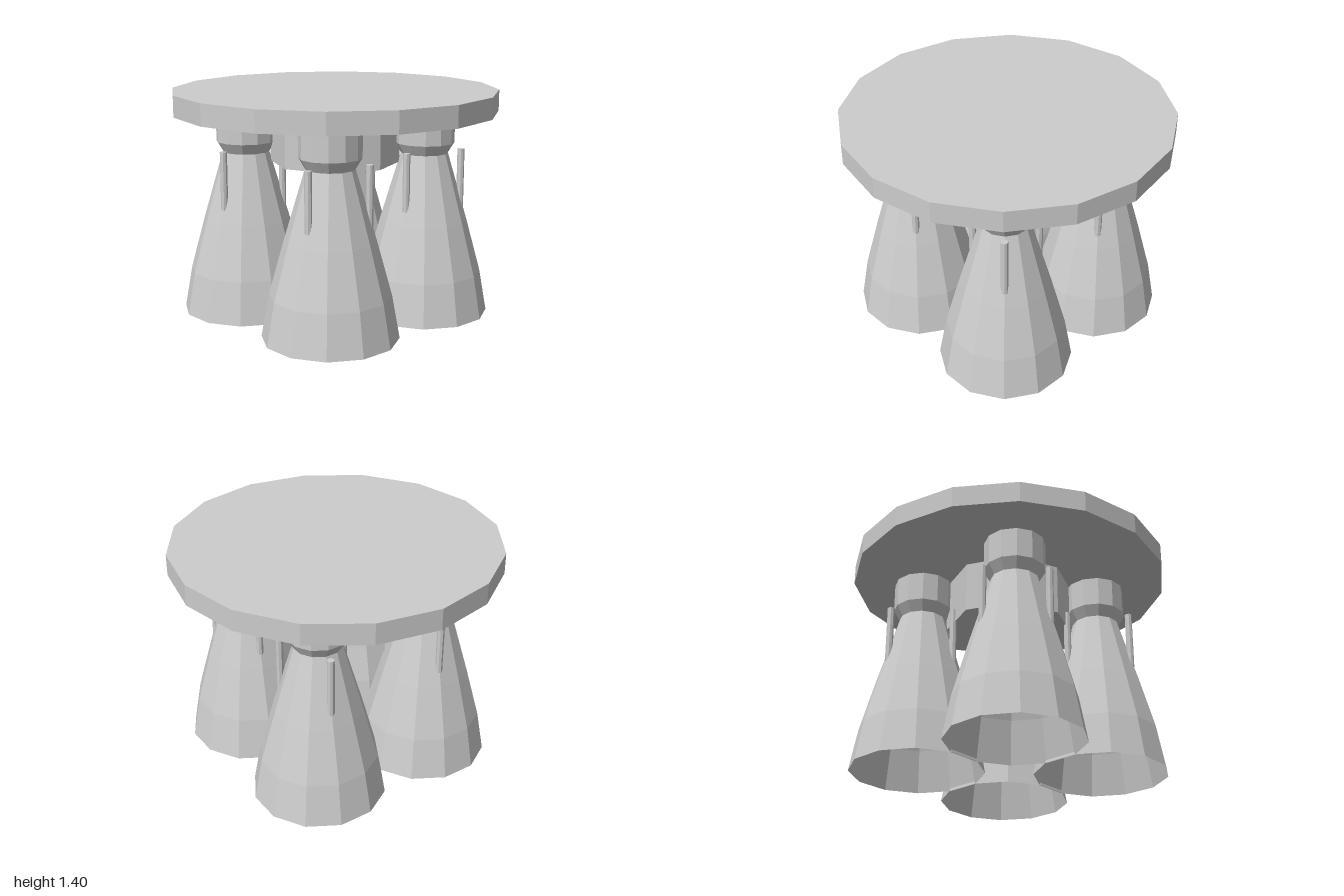
import * as THREE from 'three';

export function createModel() {
  const model = new THREE.Group();
  model.name = 'engineCluster';

  const grey = new THREE.MeshStandardMaterial({ color: 0xcccccc, flatShading: true, side: THREE.DoubleSide });
  grey.name = 'light grey metal';

  const add = (parent, geometry, name, x = 0, y = 0, z = 0) => {
    const mesh = new THREE.Mesh(geometry, grey);
    mesh.name = name;
    mesh.position.set(x, y, z);
    parent.add(mesh);
    return mesh;
  };

  // Mounting plate and the octagonal thrust block beneath it
  add(model, new THREE.CylinderGeometry(1, 1, 0.13, 16), 'mountingPlate', 0, 1.335, 0);
  add(model, new THREE.CylinderGeometry(0.4, 0.4, 0.32, 8), 'thrustBlock', 0, 1.11, 0);

  // Open bell, throat and combustion chamber as one profile
  const profile = [
    [0.408, 0], [0.36, 0.262], [0.27, 0.588], [0.145, 1.01],
    [0.184, 1.075], [0.184, 1.26], [0, 1.26],
  ].map(([r, y]) => new THREE.Vector2(r, y));
  const bellGeometry = new THREE.LatheGeometry(profile, 12);
  const pipeGeometry = new THREE.CylinderGeometry(0.022, 0.022, 0.36, 8);

  // Four engines in a cross, each with three pipes around the neck
  const offset = 0.553;
  [['left', 1, 0], ['right', -1, 0], ['front', 0, 1], ['back', 0, -1]].forEach(([side, x, z]) => {
    const engine = new THREE.Group();
    engine.name = side + 'Engine';
    engine.position.set(x * offset, 0, z * offset);
    add(engine, bellGeometry, 'nozzle');
    for (let i = 0; i < 3; i++) {
      const a = (i * Math.PI * 2) / 3;
      add(engine, pipeGeometry, 'pipe', 0.225 * Math.cos(a), 0.855, 0.225 * Math.sin(a));
    }
    model.add(engine);
  });

  return model;
}
